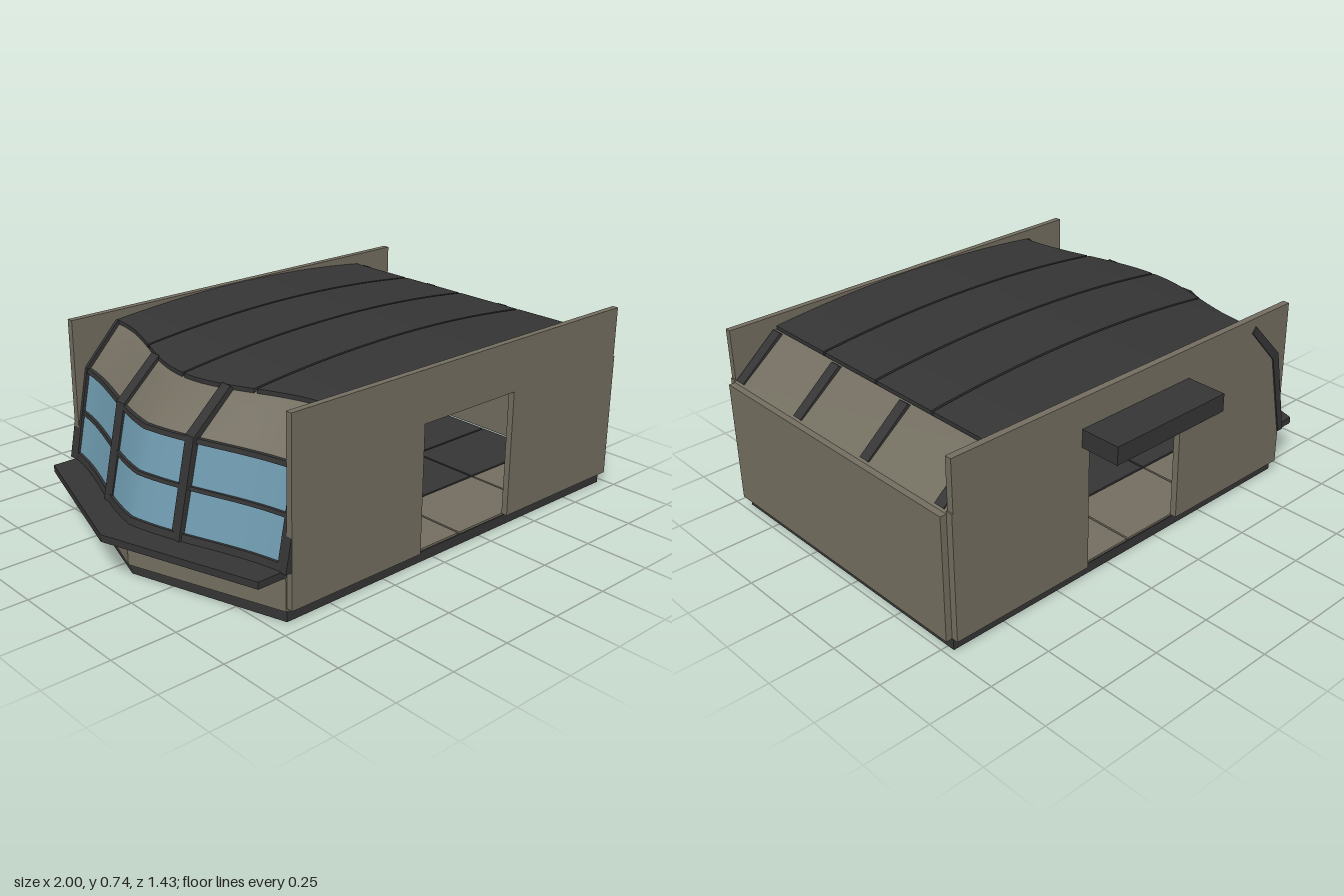
import * as THREE from 'three';
import { toCreasedNormals } from 'three/addons/utils/BufferGeometryUtils.js';

const mat = (name, color) => Object.assign(new THREE.MeshStandardMaterial({ color }), { name });

// Z extents of the hull, its centre line and half width
const Z0 = -0.53, Z1 = 0.69, ZC = 0.08, HALF = 0.61;
const lerp = (a, b, t) => a + (b - a) * t;

// Plan curves across the nose: 1 on the centre line, 0 at the side walls
const wedge = z => Math.max(0, 1 - Math.abs(z - ZC) / HALF);
const wave = z => (1 - Math.cos(Math.PI * wedge(z))) / 2;
const soft = z => (wedge(z) + wave(z)) / 2;
const glassLow = z => -0.70 - 0.17 * soft(z);
const glassTop = z => -0.63 - 0.16 * soft(z);
const roofEdge = z => -0.49 - 0.14 * wave(z);
const roofY = x => 0.74 - 0.092 * (x - 0.12) ** 2;

export function createModel() {
  const model = new THREE.Group();
  model.name = 'cabinModule';
  const hull = mat('hullBeige', 0x736e60);
  const dark = mat('darkTrim', 0x353535);
  const glass = mat('windowBlue', 0x6f9cb0);
  const amber = mat('amberPanel', 0xa06a28);

  const add = (name, geometry, material, parent = model) => {
    const mesh = new THREE.Mesh(geometry, material);
    mesh.name = name;
    parent.add(mesh);
    return mesh;
  };
  const group = name => {
    const g = new THREE.Group();
    g.name = name;
    model.add(g);
    return g;
  };
  // Box given by its limits
  const box = (name, m, x0, x1, y0, y1, z0, z1, parent) =>
    add(name, new THREE.BoxGeometry(x1 - x0, y1 - y0, z1 - z0), m, parent)
      .position.set((x0 + x1) / 2, (y0 + y1) / 2, (z0 + z1) / 2);
  // Unit box (0..1 on each axis) bent by a rule
  const warp = (name, m, seg, rule, parent) => {
    const g = new THREE.BoxGeometry(1, 1, 1, ...seg);
    const p = g.attributes.position;
    for (let i = 0; i < p.count; i++) {
      p.setXYZ(i, ...rule(p.getX(i) + 0.5, p.getY(i) + 0.5, p.getZ(i) + 0.5));
    }
    return add(name, toCreasedNormals(g, 0.5), m, parent);
  };
  // Outline in x and z, extruded upward
  const slab = (name, m, pts, y0, y1) => {
    const s = new THREE.Shape(pts.map(([x, z]) => new THREE.Vector2(x, -z)));
    const g = new THREE.ExtrudeGeometry(s, { depth: y1 - y0, bevelEnabled: false });
    add(name, g.rotateX(-Math.PI / 2).translate(0, y0, 0), m);
  };
  // Outline in x and y, extruded along z about a centre
  const rib = (name, m, pts, z, width, parent) => {
    const s = new THREE.Shape(pts.map(([x, y]) => new THREE.Vector2(x, y)));
    const g = new THREE.ExtrudeGeometry(s, { depth: width, bevelEnabled: false });
    add(name, g.translate(0, 0, z - width / 2), m, parent);
  };

  // Pointed base
  slab('base', dark, [[0.97, Z0], [-0.69, Z0], [-0.88, ZC], [-0.69, Z1], [0.97, Z1]], 0, 0.04);

  // Floor tiles, dark down the middle
  const floor = group('floor');
  const xs = [-0.68, -0.27, 0.14, 0.55, 0.97], zs = [Z0, -0.225, ZC, 0.385, Z1];
  for (let i = 0; i < 4; i++) for (let j = 0; j < 4; j++) {
    const m = j === 1 || j === 2 ? dark : hull;
    box('floorTile', m, xs[i] + 0.004, xs[i + 1] - 0.004, 0.04, 0.048, zs[j] + 0.004, zs[j + 1] - 0.004, floor);
  }

  // Side walls with a doorway in each
  for (const [name, z0, z1] of [['frontWall', Z1, 0.715], ['backWall', -0.557, Z0]]) {
    const wall = group(name);
    box('wallPanel', hull, -0.69, -0.09, 0.05, 0.545, z0, z1, wall);
    box('wallPanel', hull, 0.375, 0.975, 0.05, 0.545, z0, z1, wall);
    box('wallHeader', hull, -0.69, 0.97, 0.545, 0.743, z0, z1, wall);
  }
  box('doorCanopy', dark, -0.125, 0.41, 0.555, 0.625, -0.72, -0.557);

  // End wall, sloping shoulder and its ribs
  box('endWall', hull, 0.972, 1, 0.05, 0.535, Z0, Z1);
  const shoulder = group('shoulder');
  rib('shoulderPanel', hull, [[0.975, 0.535], [0.78, 0.69], [0.765, 0.675], [0.955, 0.52]], ZC, 2 * HALF, shoulder);
  for (const z of [0.66, 0.29, -0.1, -0.49]) {
    rib('shoulderRib', dark, [[0.972, 0.545], [0.795, 0.695], [0.775, 0.68], [0.95, 0.53]], z, 0.045, shoulder);
  }

  // Arched roof panels with beams under the joints
  const roof = group('roof');
  for (let j = 0; j < 4; j++) {
    const a = zs[j] + (j ? 0.005 : 0), b = zs[j + 1] - (j < 3 ? 0.005 : 0);
    warp('roofPanel', dark, [20, 1, 10], (u, v, w) => {
      const z = lerp(a, b, w), x = lerp(roofEdge(z), 0.775, u);
      return [x, roofY(x) - 0.022 * (1 - v), z];
    }, roof);
    // Amber ceiling plates
    for (const [x0, x1] of [[-0.22, 0.09], [0.19, 0.5]]) {
      if (j === 0 || j === 3) warp('ceilingPlate', amber, [6, 1, 1], (u, v, w) => {
        const x = lerp(x0, x1, u);
        return [x, roofY(x) - 0.032 + 0.008 * v, lerp(a + 0.05, b - 0.05, w)];
      }, roof);
    }
  }
  for (const z of zs.slice(1, 4)) warp('roofBeam', hull, [16, 1, 1], (u, v, w) => {
    const x = lerp(roofEdge(z) + 0.01, 0.77, u);
    return [x, roofY(x) - 0.055 + 0.035 * v, z + (w - 0.5) * 0.035];
  }, roof);
  for (const x of xs.slice(1, 4)) {
    box('crossBeam', hull, x - 0.018, x + 0.018, 0.64, 0.675, Z0, Z1, roof);
  }

  // Lower nose wall and projecting sill
  warp('noseLowerWall', hull, [1, 1, 24], (u, v, w) => {
    const z = lerp(Z0, Z1, w);
    return [-0.695 - 0.2 * wedge(z) + 0.02 * u, lerp(0.04, 0.17, v), z];
  });
  slab('noseSill', dark, [[-0.69, Z0], [-0.81, Z0], [-1, ZC], [-0.81, Z1], [-0.69, Z1], [-0.86, ZC]], 0.165, 0.192);

  // Raked window band
  const nose = group('nose');
  const paneX = (z, y) => lerp(glassLow(z), glassTop(z), (y - 0.2) / 0.34);
  warp('windowBand', glass, [1, 1, 32], (u, v, w) => {
    const z = lerp(Z0, Z1, w), y = lerp(0.19, 0.54, v);
    return [paneX(z, y) + 0.008 * u, y, z];
  }, nose);
  for (const [y, h] of [[0.205, 0.026], [0.375, 0.014], [0.536, 0.018]]) {
    warp('windowRail', dark, [1, 1, 32], (u, v, w) => {
      const z = lerp(Z0, Z1, w), yy = y + (v - 0.5) * h;
      return [paneX(z, yy) - 0.01 + 0.026 * u, yy, z];
    }, nose);
  }

  // Brow panel between windows and roof
  warp('browPanel', hull, [1, 4, 32], (u, v, w) => {
    const z = lerp(Z0, Z1, w), e = roofEdge(z);
    return [lerp(glassTop(z), e, v) + 0.015 * u, lerp(0.54, roofY(e) - 0.008, v) - 0.008 * (1 - u) * v, z];
  }, nose);

  // Nose ribs following windows and brow
  for (const z of [-0.54, -0.13, 0.28, 0.69]) {
    const a = glassLow(z), b = glassTop(z), e = roofEdge(z), y = roofY(e);
    rib('noseRib', dark, [
      [a - 0.014, 0.19], [a + 0.014, 0.19], [b + 0.016, 0.532], [e + 0.015, y - 0.02],
      [e - 0.004, y + 0.002], [b - 0.014, 0.55],
    ], z, 0.045, nose);
  }
  return model;
}
